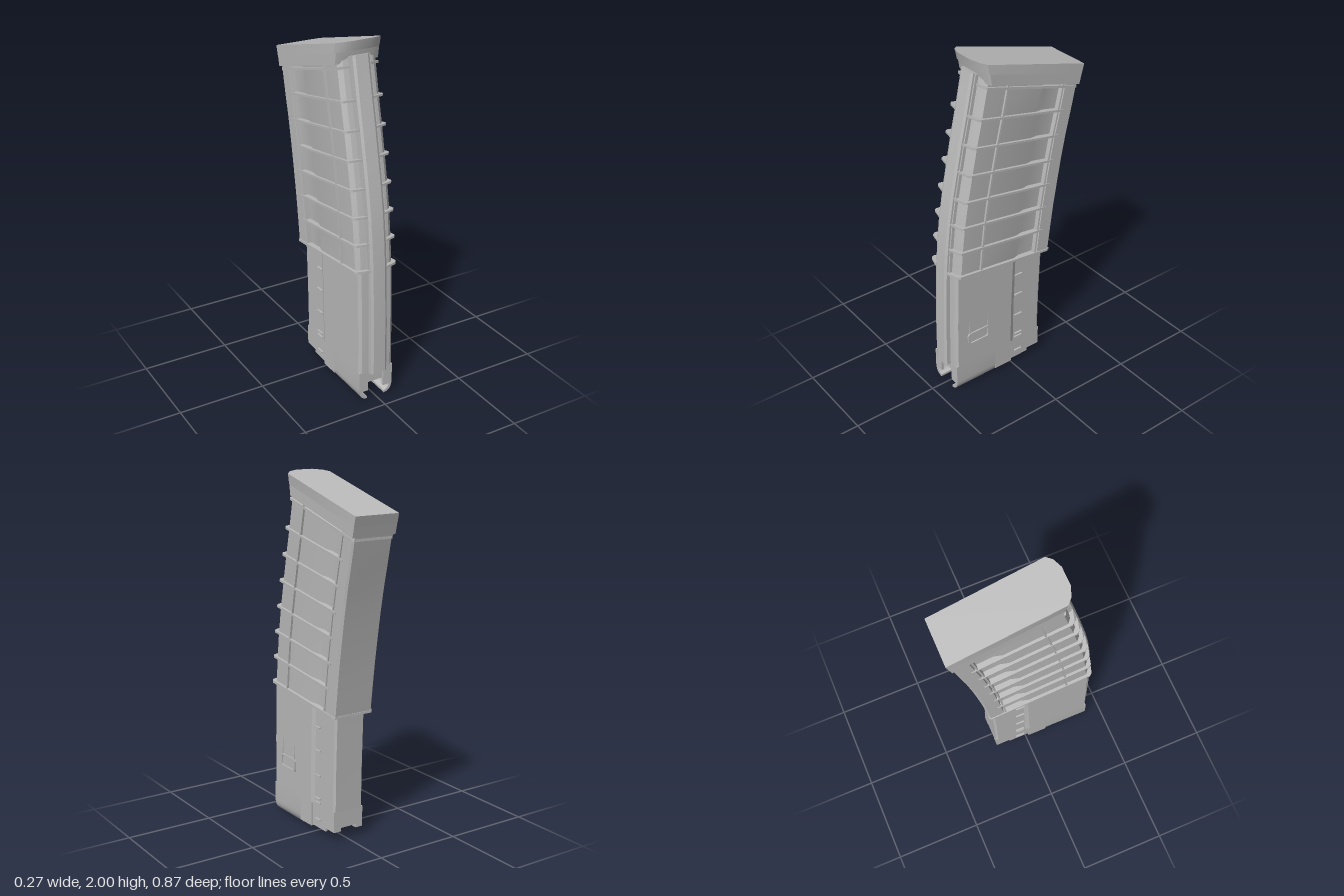
import * as THREE from 'three';
import { toCreasedNormals } from 'three/addons/utils/BufferGeometryUtils.js';

// Rows along the curve: [front z, front y, back z, back y]
const LOWER = [[0.435, 0.17, -0.195, 0.17], [0.432, 0.45, -0.2, 0.42], [0.42, 0.8, -0.212, 0.73]];
const UPPER = [
  [0.418, 0.8, -0.235, 0.73], [0.405, 0.95, -0.252, 0.87], [0.388, 1.1, -0.27, 1.01],
  [0.363, 1.25, -0.292, 1.15], [0.333, 1.4, -0.315, 1.29], [0.302, 1.55, -0.342, 1.43],
  [0.268, 1.7, -0.374, 1.57], [0.222, 1.92, -0.41, 1.74],
];

// Outline given as [t, x]; t runs 0 (front) to 1 (back) across a row
function loft(rows, outline) {
  const pos = [];
  const at = (r, [t, x]) => [x, r[1] + (r[3] - r[1]) * t, r[0] + (r[2] - r[0]) * t];
  const tri = (a, b, c) => pos.push(...a, ...b, ...c);
  const n = outline.length;
  for (let i = 0; i < rows.length - 1; i++) {
    for (let j = 0; j < n; j++) {
      const p = outline[j], q = outline[(j + 1) % n];
      const a = at(rows[i], p), b = at(rows[i], q), c = at(rows[i + 1], q), d = at(rows[i + 1], p);
      tri(a, b, c);
      tri(a, c, d);
    }
  }
  const contour = outline.map(([t, x]) => new THREE.Vector2(x, t));
  const first = rows[0], last = rows[rows.length - 1];
  for (const [a, b, c] of THREE.ShapeUtils.triangulateShape(contour, [])) {
    tri(at(last, outline[a]), at(last, outline[b]), at(last, outline[c]));
    tri(at(first, outline[c]), at(first, outline[b]), at(first, outline[a]));
  }
  const g = new THREE.BufferGeometry();
  g.setAttribute('position', new THREE.Float32BufferAttribute(pos, 3));
  return toCreasedNormals(g, 0.4);
}

// Mirror a front-to-back half outline into a closed one
const mirror = (half) => [...half, ...half.slice().reverse().map(([t, x]) => [t, -x])];

// Thin slab around a row
const slabRows = (r, h) => [-h, h].map((d) => [r[0], r[1] + d, r[2], r[3] + d]);

export function createModel() {
  const root = new THREE.Group();
  const grey = new THREE.MeshStandardMaterial({ color: 0xbababa });
  grey.name = 'plain grey';

  const add = (name, geometry, x = 0, y = 0, z = 0) => {
    const m = new THREE.Mesh(geometry, grey);
    m.name = name;
    m.position.set(x, y, z);
    root.add(m);
    return m;
  };
  const box = (name, x0, x1, y0, y1, z0, z1) => add(name,
    new THREE.BoxGeometry(x1 - x0, y1 - y0, z1 - z0), (x0 + x1) / 2, (y0 + y1) / 2, (z0 + z1) / 2);

  // Main shells, narrower behind a sloped step
  add('lowerBody', loft(LOWER, mirror([
    [0.05, 0.05], [0.055, 0.09], [0.075, 0.106], [0.66, 0.106], [0.7, 0.095], [0.98, 0.095], [1, 0.085]])));
  add('upperBody', loft(UPPER, mirror([
    [0.05, 0.05], [0.06, 0.09], [0.09, 0.113], [0.63, 0.113], [0.7, 0.098], [0.86, 0.098],
    [0.87, 0.124], [0.985, 0.124], [1, 0.115]])));

  // Raised front spine
  add('frontSpine', loft([...LOWER.slice(0, 2), ...UPPER], mirror([[0, 0.036], [0.012, 0.05], [0.12, 0.05]])));

  // Cross ribs wrapping the sides and front shoulders
  const ribOutline = mirror([[0.015, 0.052], [0.04, 0.115], [0.065, 0.128], [0.9, 0.128]]);
  UPPER.slice(1, 7).forEach((r) => add('crossRib', loft(slabRows(r, 0.006), ribOutline)));
  add('bottomFlange', loft(slabRows(UPPER[0], 0.007),
    mirror([[0.01, 0.052], [0.04, 0.118], [0.065, 0.13], [0.98, 0.13], [1.005, 0.12]])));
  add('topFlange', loft(slabRows([0.228, 1.865, -0.402, 1.695], 0.007),
    mirror([[0.03, 0.052], [0.07, 0.125], [0.98, 0.128], [1, 0.12]])));

  // Long ribs on both sides
  for (const s of [1, -1]) {
    for (const t of [0.28, 0.85]) {
      const o = [[t - 0.008, 0.125], [t + 0.008, 0.125], [t + 0.008, 0.09], [t - 0.008, 0.09]];
      add('longRib', loft(UPPER, s > 0 ? o : o.map(([a, x]) => [a, -x]).reverse()));
    }
    // Shoulder edge beside the spine
    const e = [[0.025, s * 0.052], [0.025, s * 0.06], [0.08, s * 0.06], [0.08, s * 0.052]];
    add('shoulderEdge', loft(UPPER, s > 0 ? e : e.slice().reverse()));
  }

  // End cap with chamfered front corners and a front lip
  const capOutline = mirror([[0, 0.052], [0.03, 0.105], [0.07, 0.133], [0.08, 0.135], [1, 0.135]]);
  add('endCap', loft([[0.222, 1.945, -0.421, 1.765], [0.235, 2, -0.435, 1.82]], capOutline));
  add('capSkirt', loft([[0.21, 1.882, -0.408, 1.71], [0.222, 1.945, -0.421, 1.765]],
    mirror([[0.04, 0.085], [0.06, 0.125], [0.075, 0.134], [1, 0.134]])));

  // Curled lips around the open lower end
  const lip = new THREE.Shape();
  lip.moveTo(0.106, 0.175);
  lip.lineTo(0.106, 0.065);
  lip.quadraticCurveTo(0.104, 0.004, 0.055, 0);
  lip.lineTo(0.055, 0.014);
  lip.quadraticCurveTo(0.088, 0.02, 0.09, 0.07);
  lip.lineTo(0.09, 0.175);
  lip.closePath();
  for (const s of [1, -1]) {
    const g = new THREE.ExtrudeGeometry(lip, { depth: 0.27, bevelEnabled: false, curveSegments: 6 });
    const m = add('frontLip', toCreasedNormals(g, 0.5), 0, 0, 0.13);
    if (s < 0) {
      m.rotation.y = Math.PI;
      m.position.z = 0.4;
    }
    const side = (name, a, b, ...rest) => box(name, Math.min(s * a, s * b), Math.max(s * a, s * b), ...rest);
    side('frontPost', 0.05, 0.092, 0.05, 0.175, 0.385, 0.4);
    side('sideWall', 0.09, 0.106, 0.03, 0.175, 0.015, 0.13);
    side('rearSideWall', 0.082, 0.095, 0.035, 0.175, -0.11, 0.015);
    side('rearCorner', 0.05, 0.095, 0.055, 0.175, -0.195, -0.11);
    // Small rungs along the sloped step
    [0.085, 0.185, 0.21, 0.345, 0.49, 0.625].forEach((y) =>
      side('stepRung', 0.09, 0.105, y - 0.004, y + 0.004, -0.065, -0.015));
  }
  box('rearWall', -0.06, 0.06, 0.075, 0.175, -0.195, -0.18);
  box('innerBlock', -0.09, 0.09, 0.08, 0.175, -0.18, 0.37);

  // Rounded catch frame on one side
  const round = (P, w, h, r) => {
    const p = new P();
    p.absarc(w - r, h - r, r, 0, Math.PI / 2);
    p.absarc(r - w, h - r, r, Math.PI / 2, Math.PI);
    p.absarc(r - w, r - h, r, Math.PI, Math.PI * 1.5);
    p.absarc(w - r, r - h, r, Math.PI * 1.5, Math.PI * 2);
    p.closePath();
    return p;
  };
  const frame = round(THREE.Shape, 0.074, 0.039, 0.018);
  frame.holes.push(round(THREE.Path, 0.062, 0.029, 0.012));
  const catchFrame = add('catchFrame',
    new THREE.ExtrudeGeometry(frame, { depth: 0.012, bevelEnabled: false, curveSegments: 5 }), 0.102, 0.338, 0.248);
  catchFrame.rotation.y = Math.PI / 2;

  // Tapered guides above the catch
  const wedge = new THREE.Shape([[0, 0], [0.01, 0], [0, 0.14]].map(([x, y]) => new THREE.Vector2(x, y)));
  for (const z of [0.183, 0.307]) {
    add('catchGuide', new THREE.ExtrudeGeometry(wedge, { depth: 0.005, bevelEnabled: false }), 0.1035, 0.365, z);
  }
  return root;
}
